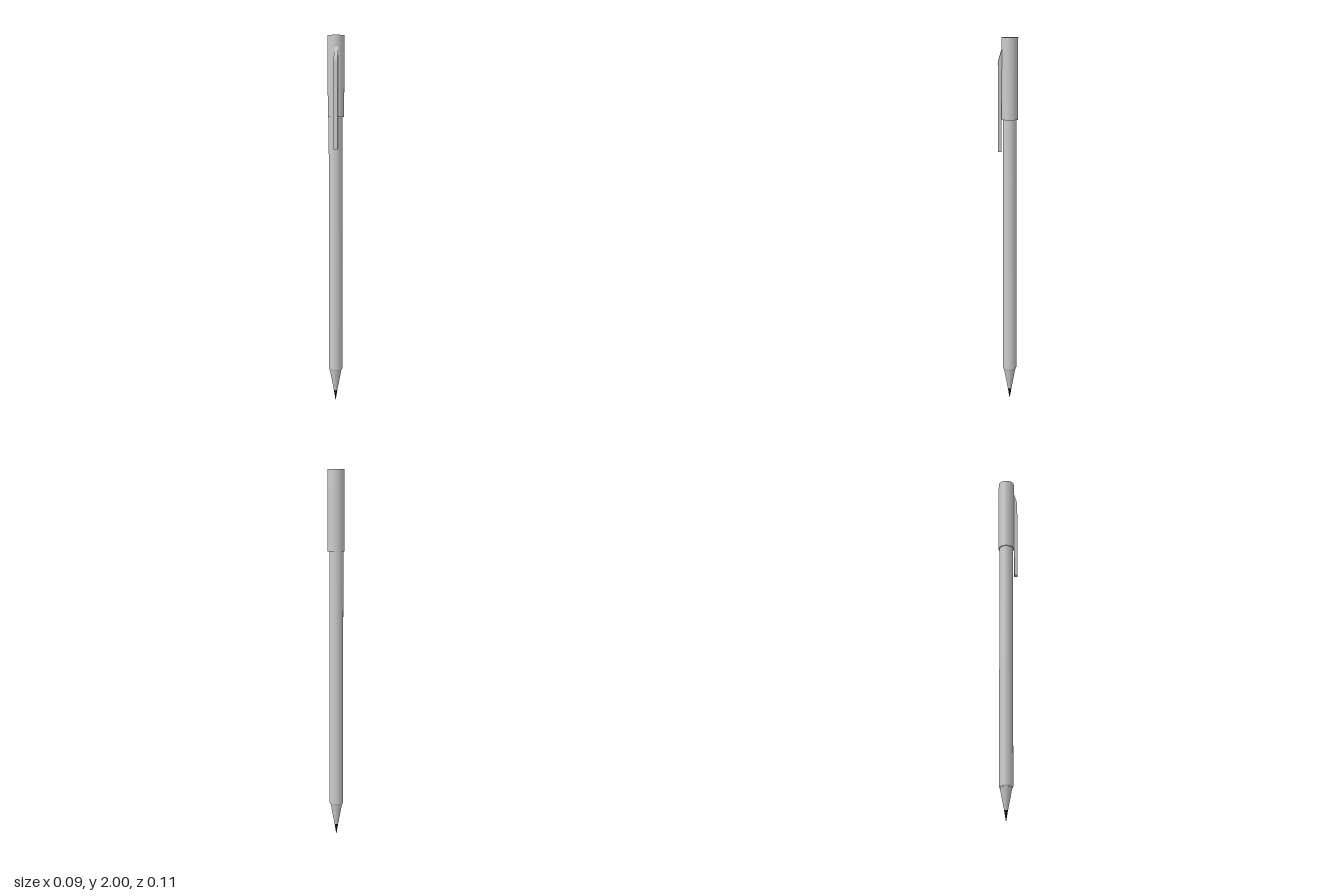
import * as THREE from 'three';

const AXIS_Z = -0.011;

export function createModel() {
  const model = new THREE.Group();
  const grey = new THREE.MeshStandardMaterial({ color: 0xcccccc });
  const dark = new THREE.MeshStandardMaterial({ color: 0x111111 });

  // Round section between two heights
  const section = (name, rTop, rBottom, y0, y1, x, material = grey) => {
    const mesh = new THREE.Mesh(new THREE.CylinderGeometry(rTop, rBottom, y1 - y0, 48), material);
    mesh.name = name;
    mesh.position.set(x, (y0 + y1) / 2, AXIS_Z);
    model.add(mesh);
  };
  section('cap', 0.044, 0.044, 1.57, 2, 0);
  section('barrel', 0.037, 0.037, 0.18, 1.6, -0.002);
  section('barrelRim', 0.037, 0.034, 0.172, 0.18, -0.002);
  section('tipCone', 0.032, 0.01, 0.055, 0.172, -0.002);
  section('lead', 0.01, 0.0008, 0, 0.055, -0.002, dark);

  // Pocket clip: side profile (z, y) extruded across its width
  const profile = new THREE.Shape([
    [0.034, 1.4], [0.052, 1.4], [0.052, 1.865], [0.047, 1.89],
    [0.032, 1.94], [0.026, 1.94], [0.026, 1.85], [0.034, 1.83],
  ].map(([z, y]) => new THREE.Vector2(z, y)));
  const clipGeometry = new THREE.ExtrudeGeometry(profile, { depth: 0.021, bevelEnabled: false });
  clipGeometry.rotateY(-Math.PI / 2);
  const clip = new THREE.Mesh(clipGeometry, grey);
  clip.name = 'pocketClip';
  clip.position.x = 0.016;
  model.add(clip);

  return model;
}
